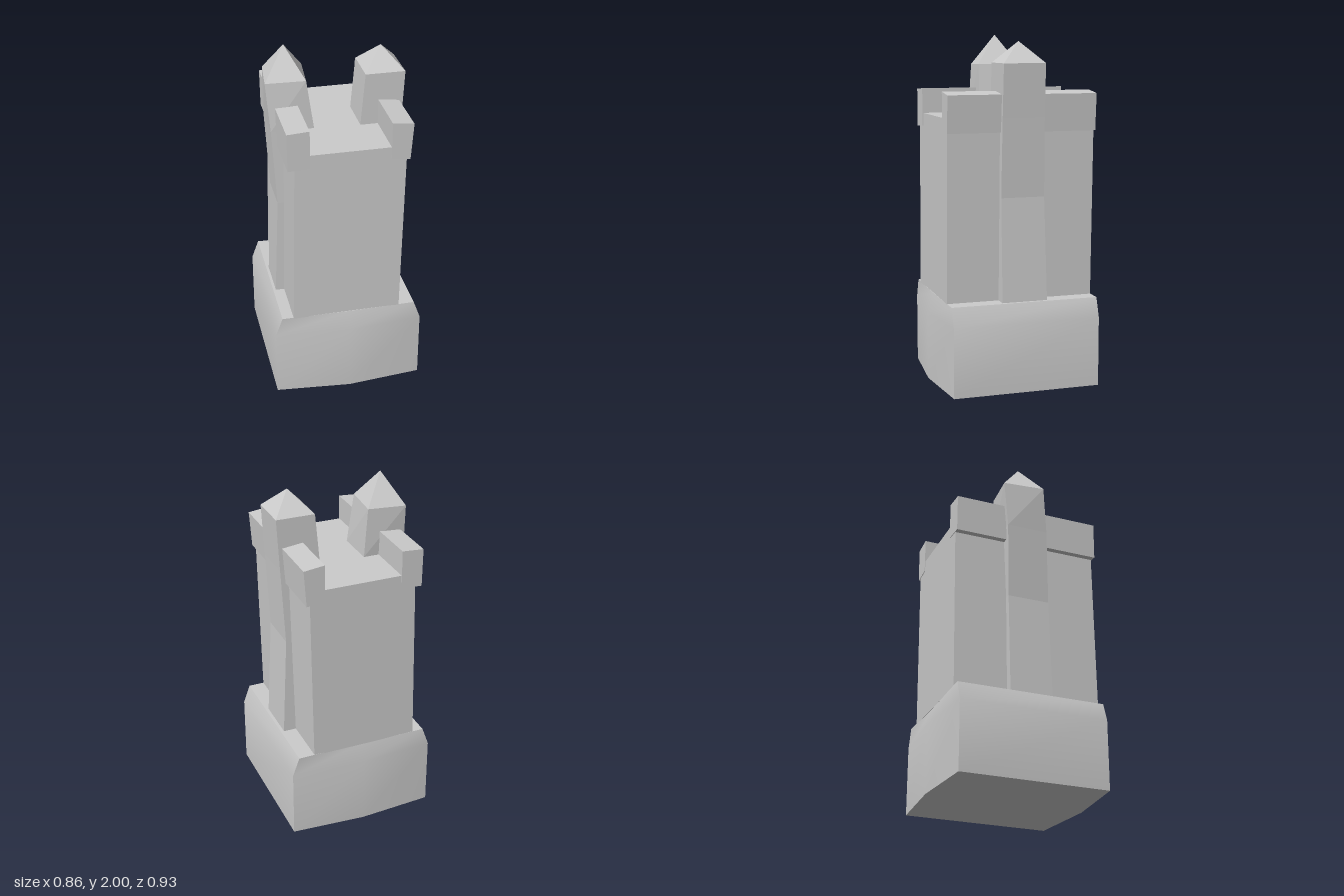
import * as THREE from 'three';
import { toCreasedNormals } from 'three/addons/utils/BufferGeometryUtils.js';

const material = new THREE.MeshStandardMaterial({ color: 0xcccccc });

// Rings of [x, y, z] corners, from bottom to top, each counterclockwise seen
// from above. The ends close as fans; the top fan may rise to an apex.
function loft(rings, apex) {
  const pos = [];
  const tri = (...pts) => pts.forEach((p) => pos.push(...p));
  const centre = (ring) => [0, 1, 2].map((k) => ring.reduce((s, p) => s + p[k], 0) / ring.length);
  const n = rings[0].length;
  const top = rings[rings.length - 1];
  const topCentre = apex || centre(top);
  const bottomCentre = centre(rings[0]);
  for (let i = 0; i < n; i++) {
    const j = (i + 1) % n;
    for (let r = 0; r < rings.length - 1; r++) {
      const lo = rings[r], hi = rings[r + 1];
      tri(lo[i], lo[j], hi[j]);
      tri(lo[i], hi[j], hi[i]);
    }
    tri(top[i], top[j], topCentre);
    tri(rings[0][j], rings[0][i], bottomCentre);
  }
  const geometry = new THREE.BufferGeometry();
  geometry.setAttribute('position', new THREE.Float32BufferAttribute(pos, 3));
  geometry.computeVertexNormals();
  return geometry;
}

// Rectangular ring at height y
const rect = (y, x0, x1, zBack, zFront) => [
  [x0, y, zFront], [x1, y, zFront], [x1, y, zBack], [x0, y, zBack],
];

// Six-cornered ring whose front and back come to a shallow point
const plinthRing = (y, w, point) => [
  [-w, y, 0.425], [0, y, point], [w, y, 0.425],
  [w, y, -0.435], [0, y, -point], [-w, y, -0.435],
];

export function createModel() {
  const model = new THREE.Group();
  const add = (name, geometry) => {
    const mesh = new THREE.Mesh(geometry, material);
    mesh.name = name;
    model.add(mesh);
  };

  // Plinth with sloping shoulders
  const plinth = loft([
    plinthRing(0, 0.43, 0.465),
    plinthRing(0.4, 0.43, 0.465),
    plinthRing(0.51, 0.39, 0.43),
  ]);
  add('plinth', toCreasedNormals(plinth, 0.6));

  // Slightly leaning keep
  add('keep', loft([
    rect(0.505, -0.325, 0.297, -0.433, 0.427),
    rect(1.545, -0.303, 0.317, -0.435, 0.425),
  ]));

  // Regular turret on the left flank
  add('leftTurret', loft([
    rect(0.505, 0.13, 0.372, -0.14, 0.125),
    rect(1.1, 0.13, 0.342, -0.13, 0.123),
    rect(1.545, 0.13, 0.365, -0.123, 0.122),
    rect(1.845, 0.157, 0.382, -0.123, 0.12),
  ], [0.27, 1.965, 0]));

  // Twisted, taller turret on the right flank
  add('rightTurret', loft([
    rect(0.505, -0.375, -0.13, -0.125, 0.125),
    rect(1.1, -0.349, -0.13, -0.125, 0.12),
    rect(1.545, -0.373, -0.13, -0.137, 0.105),
    [[-0.395, 1.825, 0.08], [-0.17, 1.83, 0.1], [-0.15, 1.83, -0.14], [-0.37, 1.825, -0.16]],
  ], [-0.27, 2, -0.03]));

  // Four parapets, overhanging the flanks in front of and behind each turret
  for (const [end, zBack, zFront] of [['front', 0.09, 0.43], ['back', -0.438, -0.1]]) {
    add(end + 'LeftParapet', loft([
      [[0.23, 1.48, zFront], [0.335, 1.465, zFront], [0.335, 1.465, zBack], [0.23, 1.48, zBack]],
      [[0.23, 1.69, zFront], [0.35, 1.675, zFront], [0.35, 1.675, zBack], [0.23, 1.69, zBack]],
    ]));
    add(end + 'RightParapet', loft([
      [[-0.342, 1.463, zFront], [-0.22, 1.47, zFront], [-0.22, 1.47, zBack], [-0.342, 1.463, zBack]],
      [[-0.345, 1.682, zFront], [-0.22, 1.69, zFront], [-0.22, 1.69, zBack], [-0.345, 1.682, zBack]],
    ]));
  }

  return model;
}
